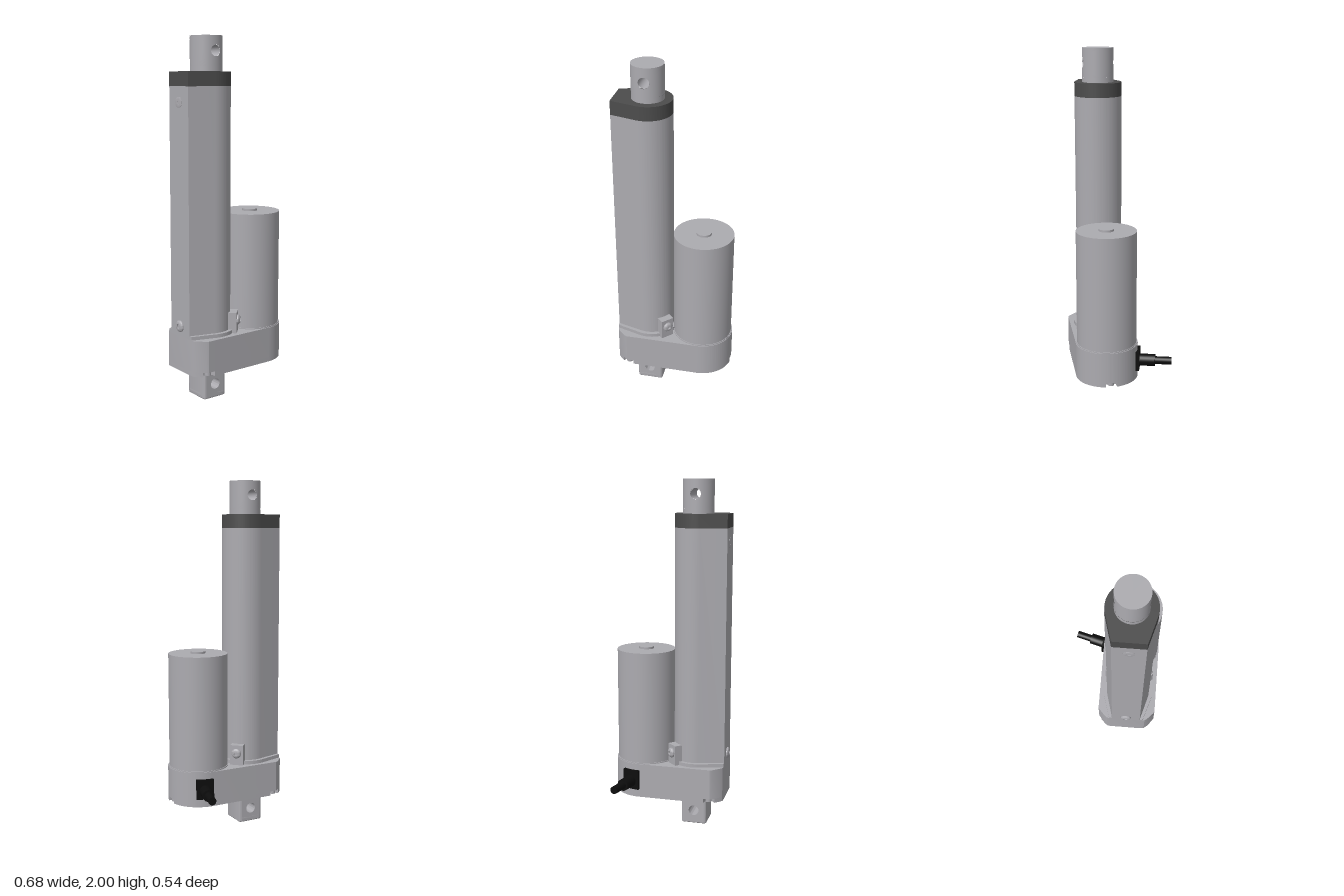
import * as THREE from 'three';
import { toCreasedNormals } from 'three/addons/utils/BufferGeometryUtils.js';

const AXIS_X = -0.145;  // rod and tube axis
const MOTOR_X = 0.162;  // motor axis
const HOLE_R = 0.03;

const metal = new THREE.MeshStandardMaterial({ color: 0xacabb0 });
metal.name = 'grey metal';
const dark = new THREE.MeshStandardMaterial({ color: 0x4c4c4c });
dark.name = 'dark cap';
const black = new THREE.MeshStandardMaterial({ color: 0x0d0d0d });
black.name = 'black rubber';

function add(parent, name, geometry, material, x = 0, y = 0, z = 0) {
  const mesh = new THREE.Mesh(geometry, material);
  mesh.name = name;
  mesh.position.set(x, y, z);
  parent.add(mesh);
  return mesh;
}

// Extrude a plan outline upwards from y0 to y1
function slab(shape, y0, y1) {
  const g = new THREE.ExtrudeGeometry(shape, { depth: y1 - y0, bevelEnabled: false, curveSegments: 48 });
  return toCreasedNormals(g.rotateX(-Math.PI / 2).translate(0, y0, 0), 0.4);
}

// Round end joined by tangents to a flat left edge
function teardrop(r, halfWidth) {
  const left = -0.326, dx = left - AXIS_X;
  const t = Math.atan2(halfWidth, dx) - Math.acos(r / Math.hypot(dx, halfWidth));
  const s = new THREE.Shape();
  s.moveTo(left, -halfWidth);
  s.lineTo(left, halfWidth);
  s.absarc(AXIS_X, 0, r, t, -t, true);
  s.closePath();
  return s;
}

// Gearbox outline, optionally with three screw notches
function housingShape(notched) {
  const corner = [[-0.326, 0.1], [-0.323, 0.118], [-0.312, 0.133]];
  if (notched) corner.push([-0.286, 0.158], [-0.268, 0.138], [-0.232, 0.138], [-0.222, 0.177]);
  else corner.push([-0.272, 0.171], [-0.26, 0.177]);
  const R = 0.177, a = notched ? 0.18 : 0;
  const s = new THREE.Shape();
  corner.forEach(([x, y], i) => (i ? s.lineTo(x, y) : s.moveTo(x, y)));
  s.absarc(MOTOR_X, 0, R, Math.PI / 2, a, true);
  if (notched) {
    s.lineTo(0.3, 0.03);
    s.lineTo(0.3, -0.03);
  }
  s.absarc(MOTOR_X, 0, R, -a, -Math.PI / 2, true);
  corner.reverse().forEach(([x, y]) => s.lineTo(x, -y));
  s.closePath();
  return s;
}

// Half of a cylinder wall pierced by a round hole, facing +z
function piercedHalfWall(r, height, holeR) {
  const A = 48, V = 12, pos = [], nor = [], idx = [];
  for (let i = 0; i <= A; i++) {
    const a = (i / A) * Math.PI * 2, c = Math.cos(a), s = Math.sin(a);
    const m = Math.max(Math.abs(c), Math.abs(s));
    for (let j = 0; j <= V; j++) {
      const v = j / V;
      const th = THREE.MathUtils.lerp(Math.asin((holeR * c) / r), ((c / m) * Math.PI) / 2, v);
      const y = THREE.MathUtils.lerp(holeR * s, ((s / m) * height) / 2, v);
      pos.push(r * Math.sin(th), y, r * Math.cos(th));
      nor.push(Math.sin(th), 0, Math.cos(th));
      if (i < A && j < V) {
        const k = i * (V + 1) + j, n = k + V + 1;
        idx.push(k, k + 1, n, n, k + 1, n + 1);
      }
    }
  }
  const g = new THREE.BufferGeometry();
  g.setAttribute('position', new THREE.Float32BufferAttribute(pos, 3));
  g.setAttribute('normal', new THREE.Float32BufferAttribute(nor, 3));
  g.setIndex(idx);
  return g;
}

// Socket-head screw pointing along +z
function screwGeometry(r, h) {
  const pts = [[r, 0], [r, h * 0.4], [r * 0.85, h * 0.75], [r * 0.6, h], [r * 0.4, h], [r * 0.4, h * 0.4], [0, h * 0.4]];
  const g = new THREE.LatheGeometry(pts.map(([x, y]) => new THREE.Vector2(x, y)), 32);
  return toCreasedNormals(g.rotateX(Math.PI / 2), 0.6);
}

function rodEnd() {
  const rod = new THREE.Group();
  rod.name = 'pistonRod';
  const r = 0.088, y0 = 1.8, y1 = 2, holeY = 1.92, half = y1 - holeY;
  for (const turn of [0, Math.PI]) {
    add(rod, 'rodWall', piercedHalfWall(r, half * 2, HOLE_R), metal, 0, holeY).rotation.y = turn;
  }
  const low = holeY - half - y0;
  add(rod, 'rodBase', new THREE.CylinderGeometry(r, r, low, 64, 1, true), metal, 0, y0 + low / 2);
  add(rod, 'rodTop', new THREE.CircleGeometry(r, 64).rotateX(-Math.PI / 2), metal, 0, y1);
  const bore = metal.clone();
  bore.side = THREE.DoubleSide;
  add(rod, 'rodHole', new THREE.CylinderGeometry(HOLE_R, HOLE_R, 0.166, 32, 1, true).rotateX(Math.PI / 2), bore, 0, holeY);
  rod.position.x = AXIS_X;
  return rod;
}

function baseMount() {
  const mount = new THREE.Group();
  mount.name = 'baseMount';
  const d = 0.079, q = 0.015, w = 0.06;
  // Pierced middle
  const core = new THREE.Shape([[-w, 0.008], [w, 0.008], [w, 0.18], [-w, 0.18]].map(p => new THREE.Vector2(...p)));
  core.holes.push(new THREE.Path().absarc(0, 0.08, HOLE_R, 0, Math.PI * 2, true));
  const g = new THREE.ExtrudeGeometry(core, { depth: d * 2, bevelEnabled: false, curveSegments: 32 });
  add(mount, 'mountCore', toCreasedNormals(g.translate(0, 0, -d), 0.4), metal);
  // Rounded flanks
  const flank = new THREE.Shape();
  flank.moveTo(w, -d);
  flank.absarc(w, -d + q, q, -Math.PI / 2, 0, false);
  flank.absarc(w, d - q, q, 0, Math.PI / 2, false);
  flank.closePath();
  for (const turn of [0, Math.PI]) add(mount, 'mountFlank', slab(flank, 0.008, 0.18), metal).rotation.y = turn;
  // Bevelled foot
  const foot = new THREE.Shape();
  [[1, -1, -0.5], [1, 1, 0], [-1, 1, 0.5], [-1, -1, 1]].forEach(([sx, sz, a]) =>
    foot.absarc(sx * w, sz * (d - q), q, a * Math.PI, (a + 0.5) * Math.PI, false));
  const b = 0.008;
  const fg = new THREE.ExtrudeGeometry(foot, { depth: 0.02, bevelThickness: b, bevelSize: b, bevelOffset: -b, bevelSegments: 3 });
  add(mount, 'mountFoot', toCreasedNormals(fg.rotateX(-Math.PI / 2).translate(0, b, 0), 0.4), metal);
  mount.position.x = AXIS_X;
  return mount;
}

export function createModel() {
  const model = new THREE.Group();
  model.name = 'linearActuator';
  const body = new THREE.Group();
  body.name = 'body';
  body.position.z = 0.09;
  model.add(body);

  body.add(rodEnd(), baseMount());

  // Gearbox
  add(body, 'gearboxFoot', slab(housingShape(true), 0.172, 0.197), metal);
  add(body, 'gearbox', slab(housingShape(false), 0.197, 0.373), metal);
  add(body, 'tubeSeat', slab(teardrop(0.153, 0.105), 0.37, 0.393), metal);
  for (const [x, z] of [[-0.25, 0.152], [-0.25, -0.152], [0.316, 0]]) {
    add(body, 'gearboxScrew', new THREE.CylinderGeometry(0.018, 0.018, 0.02, 24), metal, x, 0.187, z);
  }

  // Outer tube and end cap
  const tubeShape = teardrop(0.132, 0.087);
  add(body, 'outerTube', slab(tubeShape, 0.37, 1.735), metal);
  add(body, 'endCap', slab(tubeShape, 1.735, 1.812), dark);

  // Motor
  add(body, 'motor', new THREE.CylinderGeometry(0.169, 0.169, 0.66, 72), metal, MOTOR_X, 0.7);
  add(body, 'motorCollar', new THREE.CylinderGeometry(0.173, 0.173, 0.01, 72), metal, MOTOR_X, 0.374);
  add(body, 'motorBoss', new THREE.CylinderGeometry(0.043, 0.043, 0.03, 40), metal, MOTOR_X, 1.027);

  // Clamp blocks with their screws
  for (const turn of [Math.PI / 4, (3 * Math.PI) / 4]) {
    const clamp = new THREE.Group();
    clamp.name = 'tubeClamp';
    clamp.position.x = AXIS_X;
    clamp.rotation.y = turn;
    add(clamp, 'clampBlock', new THREE.BoxGeometry(0.077, 0.118, 0.072), metal, 0, 0.431, 0.137);
    add(clamp, 'clampScrew', screwGeometry(0.028, 0.017), metal, 0, 0.443, 0.173);
    body.add(clamp);
  }

  // Screws on the flat face of the tube
  add(body, 'tubeScrew', screwGeometry(0.032, 0.014), metal, -0.326, 0.43).rotation.y = -Math.PI / 2;
  add(body, 'upperTubeScrew', screwGeometry(0.03, 0.003), metal, -0.326, 1.65).rotation.y = -Math.PI / 2;

  // Cable outlet
  const cable = new THREE.Group();
  cable.name = 'cableOutlet';
  cable.position.set(MOTOR_X, 0.27, 0);
  cable.rotation.y = Math.PI - 0.26;
  add(cable, 'cableFlange', new THREE.BoxGeometry(0.098, 0.115, 0.03), black, 0, 0.008, 0.174);
  for (const [name, r, from, to] of [['cableSleeve', 0.034, 0.17, 0.277], ['cable', 0.022, 0.27, 0.371]]) {
    add(cable, name, new THREE.CylinderGeometry(r, r, to - from, 32).rotateX(Math.PI / 2), black, 0, 0, (from + to) / 2);
  }
  body.add(cable);

  return model;
}
